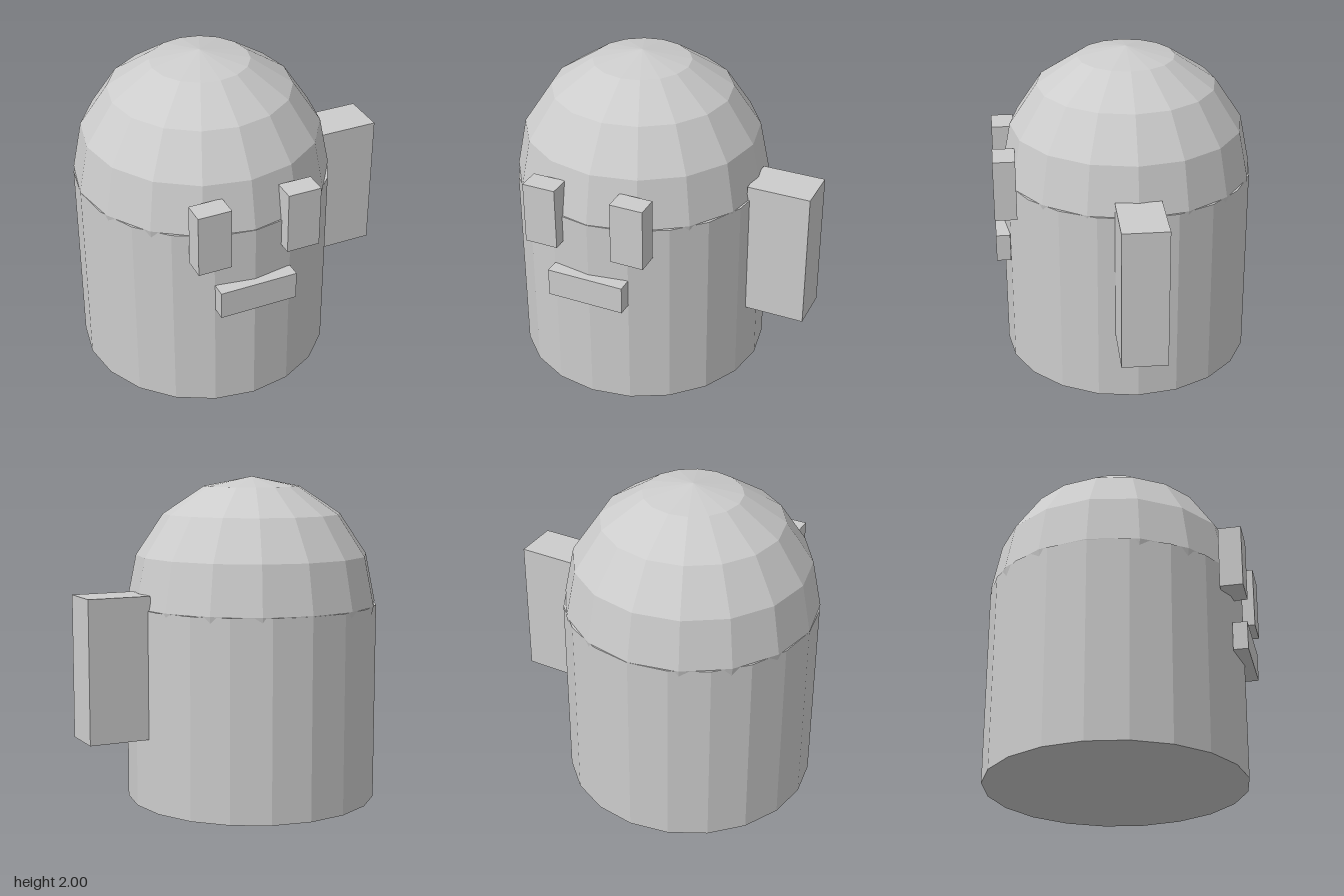
import * as THREE from 'three';

export function createModel() {
  const model = new THREE.Group();
  model.name = 'domedFigure';
  const grey = new THREE.MeshStandardMaterial({ color: 0xcccccc, flatShading: true });
  grey.name = 'light grey';

  const add = (name, geometry, x, y, z) => {
    const mesh = new THREE.Mesh(geometry, grey);
    mesh.name = name;
    mesh.position.set(x, y, z);
    model.add(mesh);
  };

  // Box given by its extents along each axis
  const addBox = (name, [x0, x1], [y0, y1], [z0, z1]) =>
    add(name, new THREE.BoxGeometry(x1 - x0, y1 - y0, z1 - z0),
      (x0 + x1) / 2, (y0 + y1) / 2, (z0 + z1) / 2);

  // Twenty-sided body with a sixteen-sided domed head sunk into it
  const cx = -0.177, cz = -0.025, bodyHeight = 1.217;
  add('body', new THREE.CylinderGeometry(0.78, 0.78, bodyHeight, 20), cx, bodyHeight / 2, cz);
  add('head', new THREE.SphereGeometry(0.779, 16, 8), cx - 0.002, 1.221, cz - 0.001);

  // Face
  for (const [name, x] of [['rightEye', -0.555], ['leftEye', 0]]) {
    addBox(name, [x, x + 0.205], [1.047, 1.43], [0.672, 0.808]);
  }
  addBox('mouth', [-0.417, 0.065], [0.7, 0.873], [0.72, 0.808]);

  // Side block
  addBox('sideBlock', [0.565, 0.955], [0.438, 1.307], [-0.163, 0.113]);

  return model;
}
